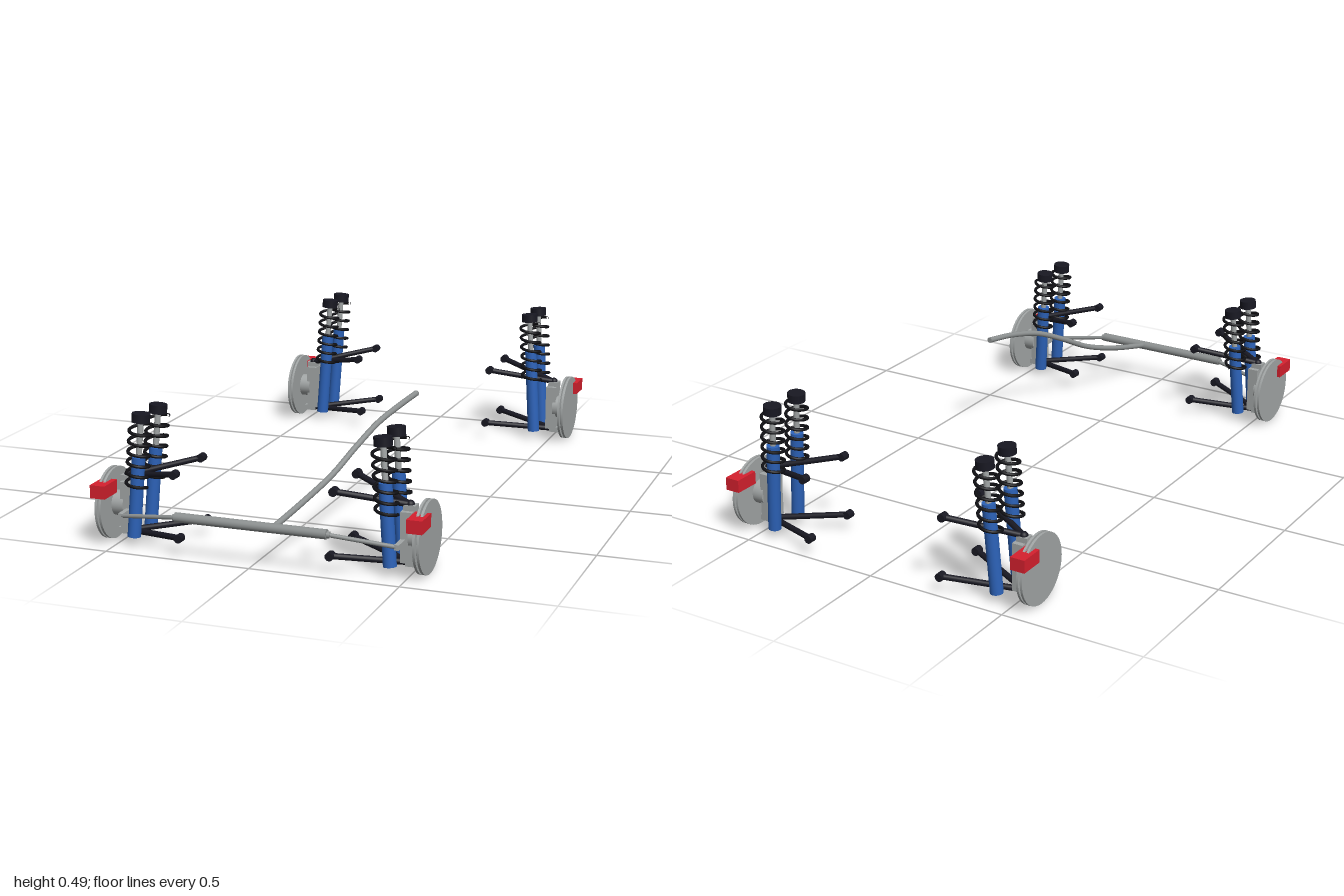
import * as THREE from 'three';

const mat = (name, color) => {
  const m = new THREE.MeshStandardMaterial({ color });
  m.name = name;
  return m;
};

export function createModel() {
  const black = mat('black arm', 0x181822);
  const springBlack = mat('spring black', 0x101014);
  const blue = mat('damper blue', 0x2c62b8);
  const red = mat('caliper red', 0xd6202e);
  const steel = mat('light steel', 0xa2a6a6);
  const midSteel = mat('steering steel', 0x8c9090);

  const model = new THREE.Group();
  model.name = 'suspensionAndSteering';
  const V = (x, y, z) => new THREE.Vector3(x, y, z);
  const UP = V(0, 1, 0);

  const add = (parent, name, geometry, material) => {
    const mesh = new THREE.Mesh(geometry, material);
    mesh.name = name;
    parent.add(mesh);
    return mesh;
  };
  // Round bar between two points
  const bar = (parent, name, a, b, r, material, sides = 20) => {
    const d = b.clone().sub(a);
    const mesh = add(parent, name, new THREE.CylinderGeometry(r, r, d.length(), sides), material);
    mesh.position.copy(a).add(b).multiplyScalar(0.5);
    mesh.quaternion.setFromUnitVectors(UP, d.normalize());
    return mesh;
  };
  const box = (parent, name, center, w, h, d, material) => {
    const mesh = add(parent, name, new THREE.BoxGeometry(w, h, d), material);
    mesh.position.copy(center);
    return mesh;
  };

  // Helical wire wound about a line
  class Helix extends THREE.Curve {
    constructor(a, b, radius, turns) {
      super();
      Object.assign(this, { a, b, radius, turns });
    }
    getPoint(t, target = new THREE.Vector3()) {
      const q = t * this.turns * Math.PI * 2;
      target.lerpVectors(this.a, this.b, t);
      target.x += Math.cos(q) * this.radius;
      target.z += Math.sin(q) * this.radius;
      return target;
    }
  }

  // Damper, rod, spring and cap on one inclined axis
  const coilover = (parent, bottom, top, tubeTop, springBottom) => {
    const g = new THREE.Group();
    g.name = 'coilover';
    parent.add(g);
    const at = (y) => bottom.clone().lerp(top, (y - bottom.y) / (top.y - bottom.y));
    bar(g, 'damperBody', bottom, at(tubeTop), 0.022, blue, 24);
    bar(g, 'damperRod', at(tubeTop), at(top.y - 0.02), 0.01, steel, 16);
    const coil = new Helix(at(springBottom), at(top.y - 0.036), 0.036, 6);
    add(g, 'spring', new THREE.TubeGeometry(coil, 168, 0.0055, 8), springBlack);
    bar(g, 'topCap', at(top.y - 0.029), top, 0.03, black, 24);
  };

  // One wheel corner; sx picks the side, sz points toward the nearer end
  const corner = (sx, sz) => {
    const front = sz > 0;
    const g = new THREE.Group();
    g.name = (front ? 'front' : 'rear') + (sx > 0 ? 'Left' : 'Right') + 'Corner';
    model.add(g);
    const zc = front ? 0.85 : -0.87;
    const out = front ? 0 : 0.016;
    const P = (x, y, z) => V(sx * x, y, zc + sz * z);
    const W = (x, y, z) => P(x + out, y, z);

    // Vented brake disc with hub
    bar(g, 'discInnerPlate', W(0.53, 0.12, 0), W(0.538, 0.12, 0), 0.12, steel, 48);
    bar(g, 'discOuterPlate', W(0.544, 0.12, 0), W(0.552, 0.12, 0), 0.12, steel, 48);
    bar(g, 'discCore', W(0.537, 0.12, 0), W(0.545, 0.12, 0), 0.105, midSteel, 40);
    bar(g, 'hub', W(0.49, 0.12, 0), W(0.531, 0.12, 0), 0.042, steel, 32);
    box(g, 'caliper', P(front ? 0.538 : 0.557, 0.187, front ? 0.079 : 0.085), 0.052, 0.044, 0.09, red);

    // Upright with ball joint lugs
    box(g, 'upright', W(0.482, 0.119, 0), 0.038, 0.166, 0.07, steel);
    box(g, 'upperLug', W(0.487, 0.21, 0), 0.04, 0.02, 0.035, steel);
    box(g, 'lowerLug', W(0.497, 0.03, 0), 0.045, 0.02, 0.035, steel);

    // Upper and lower wishbones
    for (const [name, inX, inY, outY] of [['upperArm', 0.271, 0.269, 0.219], ['lowerArm', 0.258, 0.058, 0.03]]) {
      const apex = W(0.485, outY, 0);
      const joint = add(g, name + 'BallJoint', new THREE.SphereGeometry(0.015, 16, 12), black);
      joint.position.copy(apex);
      for (const s of [-1, 1]) {
        const z = s * 0.106;
        bar(g, name, apex, P(inX, inY, z), 0.01, black, 16);
        bar(g, name + 'Bushing', P(inX, inY, z - 0.014), P(inX, inY, z + 0.014), 0.014, black, 16);
      }
    }

    // Paired coilovers, their tops leaning inward and rearward
    const lift = front ? 0 : 0.045;
    for (const s of [-1, 1]) {
      const top = P(0.41, 0.444 + lift, s * 0.064);
      top.z -= 0.016;
      coilover(g, P(0.44, 0.031, s * 0.063), top, 0.298 + lift, 0.2 + lift * 0.8);
    }

    // Steering arm and tie rod on the front corners
    if (front) {
      box(g, 'steeringArm', P(0.472, 0.105, 0.058), 0.016, 0.018, 0.075, steel);
      bar(g, 'tieRod', V(sx * 0.25, 0.136, 0.983), V(sx * 0.472, 0.105, 0.938), 0.007, midSteel, 14);
      bar(g, 'rackEnd', V(sx * 0.255, 0.136, 0.983), V(sx * 0.266, 0.135, 0.981), 0.011, midSteel, 16);
    }
  };
  for (const sx of [-1, 1]) for (const sz of [-1, 1]) corner(sx, sz);

  // Steering rack and curved column
  bar(model, 'steeringRack', V(-0.258, 0.137, 0.984), V(0.258, 0.137, 0.984), 0.016, midSteel, 24);
  const path = new THREE.CatmullRomCurve3([
    V(0.077, 0.138, 0.98), V(0.112, 0.178, 0.8), V(0.15, 0.226, 0.65), V(0.187, 0.292, 0.52),
    V(0.22, 0.345, 0.4), V(0.25, 0.375, 0.27), V(0.27, 0.391, 0.142),
  ]);
  add(model, 'steeringColumn', new THREE.TubeGeometry(path, 60, 0.01, 14), midSteel);
  const end = path.getPoint(1), dir = path.getTangent(1);
  bar(model, 'columnEnd', end.clone().addScaledVector(dir, -0.004), end, 0.01, midSteel, 14);

  return model;
}
